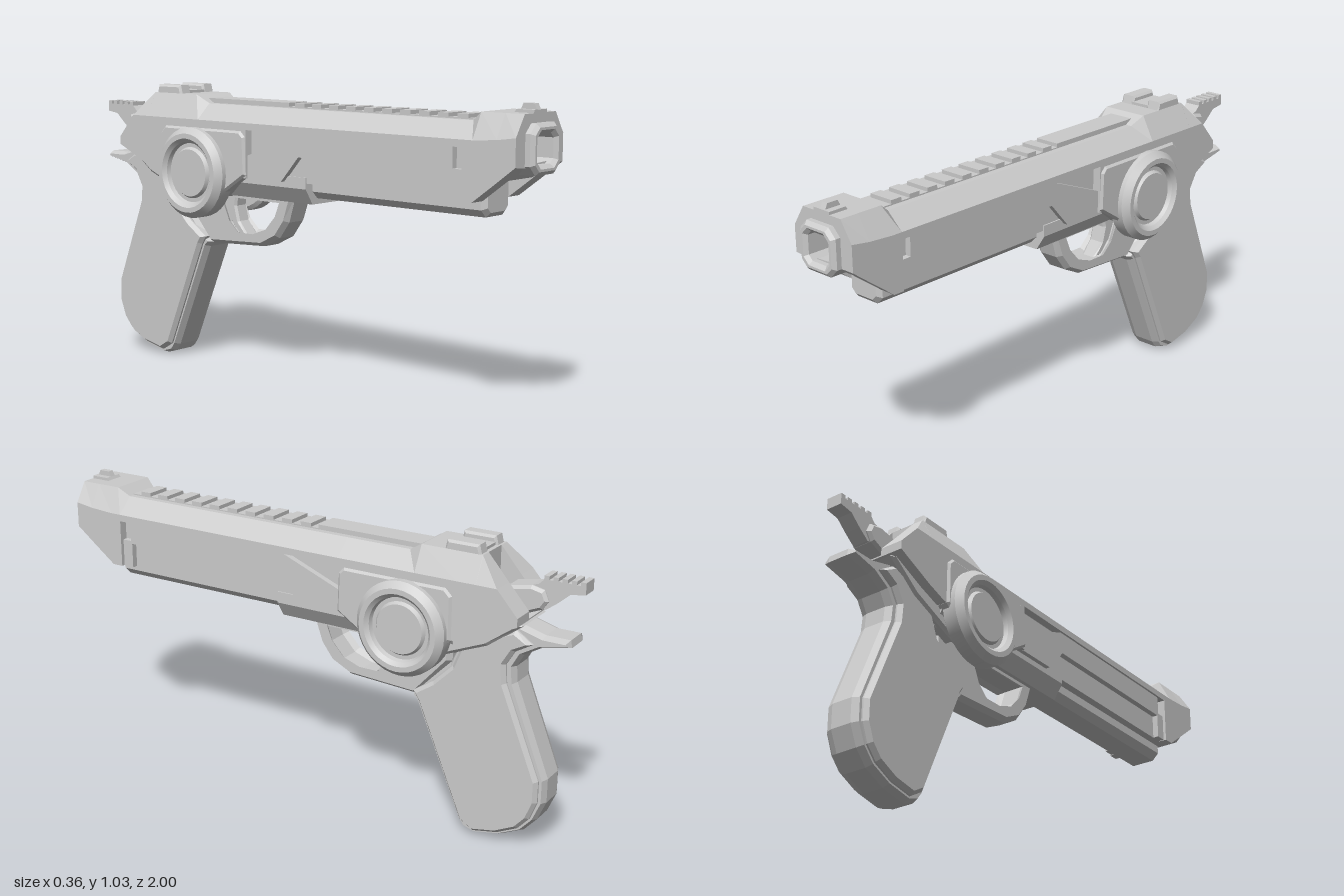
import * as THREE from 'three';
import { toCreasedNormals } from 'three/addons/utils/BufferGeometryUtils.js';

const material = new THREE.MeshStandardMaterial({ color: 0xcccccc, side: THREE.DoubleSide });

function shapeOf(points, hole) {
  const shape = new THREE.Shape(points.map(([a, b]) => new THREE.Vector2(a, b)));
  if (hole) shape.holes.push(new THREE.Path(hole.map(([a, b]) => new THREE.Vector2(a, b))));
  return shape;
}

function bevelled(shape, depth, inset, thick) {
  const geo = new THREE.ExtrudeGeometry(shape, {
    depth: depth - 2 * thick, bevelEnabled: inset > 0, bevelSegments: 1,
    bevelSize: inset, bevelOffset: -inset, bevelThickness: thick,
  });
  return geo.translate(0, 0, thick - depth / 2);
}

// Side profile given as [z, y], extruded symmetrically across x
function side(points, halfWidth, inset = 0, thick = inset, hole) {
  return bevelled(shapeOf(points, hole), halfWidth * 2, inset, thick).rotateY(-Math.PI / 2);
}

// Square with cut corners around (0, y)
function octagon(half, cut, y) {
  const k = half - cut;
  return [[-k, -half], [k, -half], [half, -k], [half, k], [k, half], [-k, half], [-half, k], [-half, -k]]
    .map(([a, b]) => [a, b + y]);
}

// Slide cross-section with a channel below, a slot above and side ledges
function section([, top, t, ch, w, bot, channel, slot, ledge, lower]) {
  const half = [[0.07, channel], [0.07, bot], [lower, bot], [lower, ledge], [w, ledge],
    [w, ch], [t, top], [0.045, top], [0.045, slot]];
  return [...half, ...half.map(([x, y]) => [-x, y]).reverse()];
}

function loft(rows) {
  const rings = rows.map((r) => section(r).map(([x, y]) => [x, y, r[0]]));
  const pos = [];
  for (let i = 0; i < rings.length - 1; i++) {
    const n = rings[i].length;
    for (let j = 0; j < n; j++) {
      const k = (j + 1) % n;
      const [a, b, c, d] = [rings[i][j], rings[i][k], rings[i + 1][j], rings[i + 1][k]];
      pos.push(...a, ...c, ...b, ...b, ...c, ...d);
    }
  }
  const last = rings[rings.length - 1];
  const flat = last.map(([x, y]) => new THREE.Vector2(x, y));
  for (const [a, b, c] of THREE.ShapeUtils.triangulateShape(flat, []))
    pos.push(...last[a], ...last[c], ...last[b]);
  const geo = new THREE.BufferGeometry();
  geo.setAttribute('position', new THREE.Float32BufferAttribute(pos, 3));
  geo.computeVertexNormals();
  return geo;
}

export function createModel() {
  const model = new THREE.Group();
  model.name = 'pistol';
  const add = (name, geo, x = 0, y = 0, z = 0) => {
    const mesh = new THREE.Mesh(geo, material);
    mesh.name = name;
    mesh.position.set(x, y, z);
    model.add(mesh);
    return mesh;
  };
  const box = (name, w, h, d, x, y, z) => add(name, new THREE.BoxGeometry(w, h, d), x, y, z);

  // Slide: z, top, half top, chamfer y, half width, bottom, channel, slot, ledge, lower half width
  add('slide', loft([
    [0.97, 1, 0.085, 0.93, 0.13, 0.84, 0.84, 1, 0.86, 0.13],
    [0.9, 1, 0.085, 0.92, 0.13, 0.787, 0.79, 1, 0.86, 0.13],
    [0.81, 1, 0.085, 0.914, 0.13, 0.72, 0.79, 1, 0.89, 0.13],
    [0.77, 0.97, 0.07, 0.914, 0.13, 0.72, 0.79, 0.97, 0.89, 0.13],
    [0.769, 0.97, 0.07, 0.914, 0.13, 0.72, 0.79, 0.97, 0.89, 0.1],
    [-0.16, 0.97, 0.07, 0.914, 0.13, 0.72, 0.79, 0.97, 0.89, 0.1],
    [-0.161, 0.97, 0.07, 0.914, 0.13, 0.72, 0.72, 0.97, 0.89, 0.13],
    [-0.4, 0.97, 0.07, 0.914, 0.13, 0.72, 0.72, 0.97, 0.89, 0.13],
    [-0.45, 1, 0.085, 0.914, 0.13, 0.72, 0.72, 1, 0.89, 0.13],
    [-0.6, 1, 0.085, 0.914, 0.13, 0.71, 0.71, 1, 0.89, 0.13],
    [-0.67, 1, 0.085, 0.914, 0.13, 0.735, 0.735, 1, 0.89, 0.13],
    [-0.671, 0.999, 0.085, 0.914, 0.13, 0.735, 0.735, 0.85, 0.89, 0.13],
    [-0.745, 0.914, 0.13, 0.914, 0.13, 0.767, 0.767, 0.82, 0.89, 0.13],
    [-0.82, 0.83, 0.13, 0.83, 0.13, 0.8, 0.8, 0.805, 0.81, 0.13],
  ]));
  add('slideFront', new THREE.ShapeGeometry(shapeOf(
    [[-0.13, 0.84], [0.13, 0.84], [0.13, 0.93], [0.085, 1], [-0.085, 1], [-0.13, 0.93]],
    octagon(0.06, 0.02, 0.89))), 0, 0, 0.97);

  // Side strip stepping down towards the frame
  add('sideStrip', side([[0.73, 0.89], [0.07, 0.89], [-0.16, 0.8], [-0.16, 0.72], [0, 0.72],
    [0.08, 0.81], [0.73, 0.81]], 0.122));
  for (const s of [1, -1])
    box('stripStop', 0.03, 0.1, 0.04, s * 0.107, 0.77, 0.745);

  // Hollow muzzle
  add('muzzle', bevelled(shapeOf(octagon(0.08, 0.03, 0.89), octagon(0.048, 0.016, 0.89)), 0.15, 0.012, 0.012),
    0, 0, 0.925);
  box('boreEnd', 0.11, 0.11, 0.01, 0, 0.89, 0.86);

  // Top rib with raised serrations
  box('topRib', 0.094, 0.012, 1.18, 0, 0.968, 0.18);
  box('rearRib', 0.094, 0.02, 0.4, 0, 0.977, -0.23);
  for (let i = 0; i < 10; i++)
    box('ribTooth', 0.094, 0.02, 0.042, 0, 0.977, 0.02 + i * 0.077);

  // Sights
  add('frontSightBase', side([[0.97, 0.995], [0.97, 1.01], [0.905, 1.01], [0.895, 0.995]], 0.035));
  add('frontSight', side([[0.968, 1], [0.955, 1.028], [0.915, 1.028], [0.9, 1]], 0.011));
  for (const s of [1, -1])
    add('rearSight', side([[-0.53, 0.99], [-0.54, 1.03], [-0.655, 1.03], [-0.665, 0.99]], 0.027, 0.008), s * 0.058);
  box('rearSightBase', 0.1, 0.02, 0.12, 0, 1, -0.595);

  // Rail under the slide
  add('underRail', bevelled(shapeOf([[-0.045, 0.665], [0.045, 0.665], [0.07, 0.69], [0.07, 0.795],
    [-0.07, 0.795], [-0.07, 0.69]]), 0.76, 0.015, 0.015), 0, 0, 0.44);

  // Frame body and the side plate behind the wheel
  add('frame', bevelled(shapeOf([[-0.07, 0.645], [0.07, 0.645], [0.105, 0.7], [0.105, 0.74],
    [-0.105, 0.74], [-0.105, 0.7]]), 0.68, 0, 0), 0, 0, -0.24);
  add('wheelPlate', side([[-0.16, 0.73], [-0.165, 0.865], [-0.185, 0.885], [-0.565, 0.885],
    [-0.59, 0.86], [-0.59, 0.71], [-0.52, 0.64], [-0.3, 0.64]], 0.138, 0.008));
  add('frameRear', side([[-0.5, 0.62], [-0.5, 0.76], [-0.78, 0.82], [-0.82, 0.79], [-0.7, 0.7]], 0.095, 0.012));

  // Round side wheels with a recessed disc
  const wheelProfile = [[0, 0.162], [0.085, 0.162], [0.093, 0.15], [0.107, 0.15], [0.112, 0.165],
    [0.125, 0.178], [0.143, 0.178], [0.164, 0.155], [0.164, 0.105], [0.15, 0.095], [0, 0.095]]
    .map(([r, h]) => new THREE.Vector2(r, h)).reverse();
  const wheelGeo = toCreasedNormals(new THREE.LatheGeometry(wheelProfile, 36), 0.4);
  for (const s of [1, -1])
    add('sideWheel', wheelGeo, 0, 0.723, -0.415).rotation.z = -s * Math.PI / 2;

  // Trigger guard and trigger
  add('triggerGuard', side(
    [[-0.01, 0.66], [-0.04, 0.565], [-0.085, 0.505], [-0.16, 0.468], [-0.42, 0.455], [-0.55, 0.6], [-0.55, 0.66]],
    0.055, 0.014, 0.02,
    [[-0.055, 0.645], [-0.08, 0.575], [-0.13, 0.52], [-0.2, 0.495], [-0.28, 0.495], [-0.33, 0.54], [-0.375, 0.645]]));
  add('trigger', side([[-0.3, 0.66], [-0.31, 0.6], [-0.295, 0.545], [-0.255, 0.497], [-0.295, 0.497],
    [-0.345, 0.55], [-0.385, 0.66]], 0.03, 0.008));

  // Grip: core with tail, raised cheek panels
  add('grip', side([[-0.41, 0.46], [-0.43, 0.44], [-0.6, 0.045], [-0.62, 0.017], [-0.665, 0.003], [-0.76, 0.022],
    [-0.84, 0.06], [-0.885, 0.11], [-0.915, 0.18], [-0.915, 0.265], [-0.79, 0.58], [-0.785, 0.635],
    [-0.81, 0.68], [-0.87, 0.715], [-0.97, 0.735], [-0.965, 0.76], [-0.88, 0.76], [-0.79, 0.785],
    [-0.6, 0.72], [-0.55, 0.6]], 0.064, 0.01, 0.025));
  add('gripPanel', side([[-0.425, 0.48], [-0.445, 0.45], [-0.615, 0.05], [-0.665, 0.02], [-0.755, 0.038],
    [-0.83, 0.075], [-0.87, 0.12], [-0.895, 0.185], [-0.895, 0.262], [-0.765, 0.58], [-0.76, 0.645],
    [-0.79, 0.695], [-0.85, 0.73], [-0.79, 0.77], [-0.61, 0.7], [-0.57, 0.6], [-0.5, 0.53]], 0.085, 0.012, 0.015));

  // Hammer with serrated spur
  add('hammerBase', side([[-0.7, 0.82], [-0.74, 0.9], [-0.82, 0.915], [-0.865, 0.905], [-0.88, 0.87],
    [-0.86, 0.84], [-0.8, 0.815]], 0.044, 0.01));
  add('hammerSpur', side([[-0.78, 0.85], [-0.8, 0.91], [-0.84, 0.92], [-0.86, 0.94], [-1, 0.94],
    [-1, 0.912], [-0.95, 0.905], [-0.91, 0.87], [-0.87, 0.84]], 0.03));
  for (let i = 0; i < 5; i++)
    box('spurTooth', 0.06, 0.016, 0.018, 0, 0.944, -0.867 - i * 0.031);

  return model;
}
